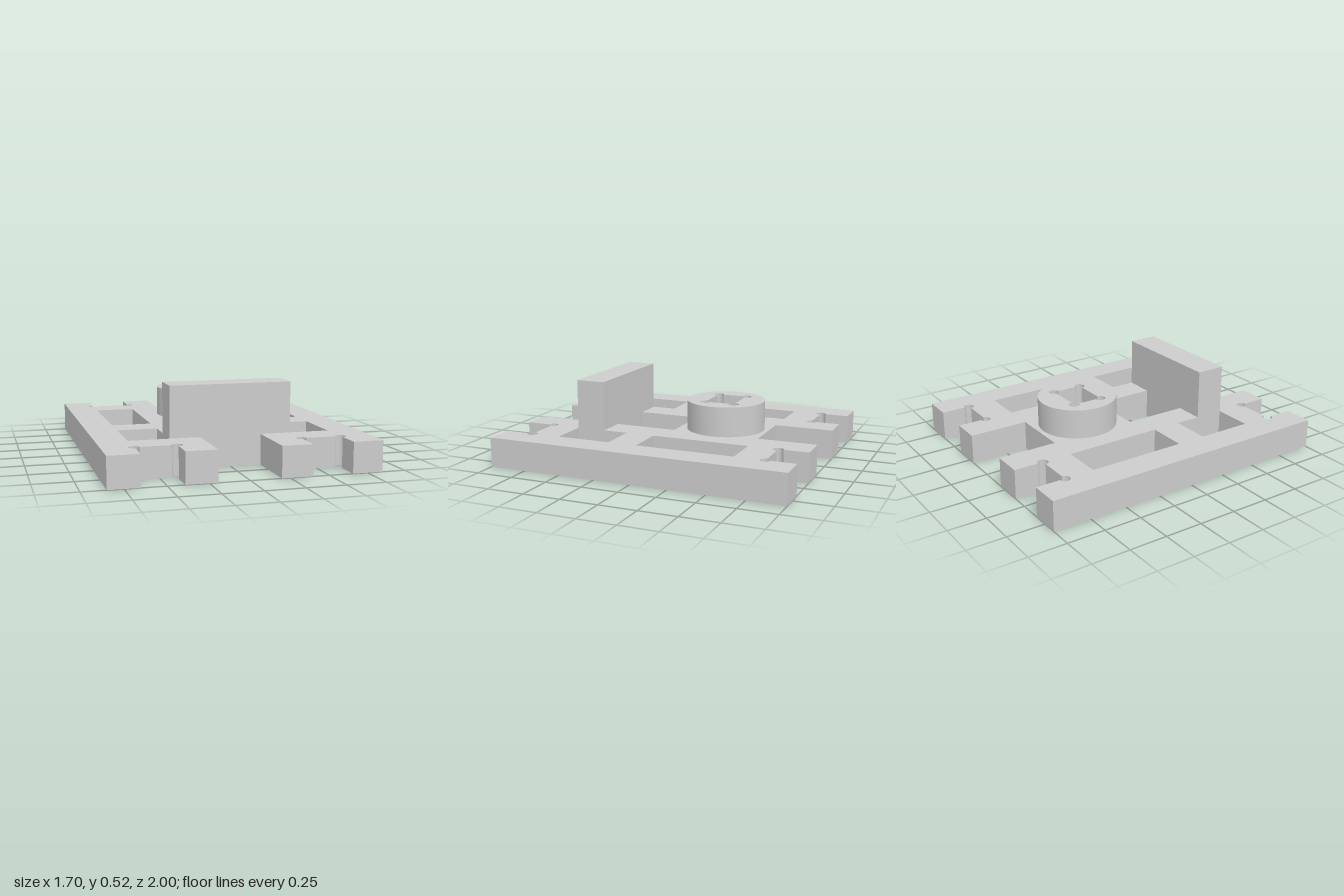
import * as THREE from 'three';
import { toCreasedNormals } from 'three/addons/utils/BufferGeometryUtils.js';

const PLATE_H = 0.197;
const RELIEF = 0.034; // radius of the round corner reliefs
const BAR = { x0: 0.197, x1: 0.393, x2: 0.655, x3: 0.85 };
const NOTCH = 0.606; // depth line of the central end notches
const SLOT = 0.804; // depth line of the relieved end slots
const BOSS_Z = -0.313;

// Points of an arc, angles in quarter turns.
function arc(cx, cy, r, from, to, n = 18) {
  return Array.from({ length: n + 1 }, (_, i) => {
    const a = (from + ((to - from) * i) / n) * Math.PI / 2;
    return new THREE.Vector2(cx + r * Math.cos(a), cy + r * Math.sin(a));
  });
}

const rect = (x0, x1, z0, z1) => [
  new THREE.Vector2(x0, -z0), new THREE.Vector2(x1, -z0),
  new THREE.Vector2(x1, -z1), new THREE.Vector2(x0, -z1),
];

// One corner of the plate outline: notch edge, inner tooth, relieved slot, outer tooth.
function quarter() {
  const { x0, x1, x2, x3 } = BAR;
  const v = (x, y) => new THREE.Vector2(x, y);
  return [
    v(x0, NOTCH), v(x0, 1), v(x1, 1),
    ...arc(x1, SLOT, RELIEF, 1, 4),
    ...arc(x2, SLOT, RELIEF, -2, 1),
    v(x2, 1), v(x3, 1),
  ];
}

const mirror = (pts, sx, sy) => pts.map((p) => new THREE.Vector2(p.x * sx, p.y * sy));

// Rectangular socket with round relief at each corner.
function socket() {
  const hx = 0.13, hz = 0.1, y = -BOSS_Z;
  return [
    ...arc(hx, y + hz, RELIEF, -1, 2),
    ...arc(-hx, y + hz, RELIEF, 0, 3),
    ...arc(-hx, y - hz, RELIEF, 1, 4),
    ...arc(hx, y - hz, RELIEF, 2, 5),
  ];
}

// Extrude a counter-clockwise plan outline upwards from y = base.
function slab(name, outline, holes, base, height, material) {
  const shape = new THREE.Shape(outline);
  shape.holes = holes.map((h) => new THREE.Path(h));
  const geo = new THREE.ExtrudeGeometry(shape, { depth: height, bevelEnabled: false });
  geo.rotateX(-Math.PI / 2).translate(0, base, 0);
  const mesh = new THREE.Mesh(toCreasedNormals(geo, 0.5), material);
  mesh.name = name;
  return mesh;
}

export function createModel() {
  const group = new THREE.Group();
  group.name = 'slottedBase';
  const grey = new THREE.MeshStandardMaterial({ color: 0xcccccc });
  grey.name = 'plain grey';

  // Base plate with toothed ends and windows
  const corner = quarter();
  const outline = [
    ...mirror(corner, 1, -1),
    ...mirror(corner, 1, 1).reverse(),
    ...mirror(corner, -1, 1),
    ...mirror(corner, -1, -1).reverse(),
  ];
  const windows = [rect(-BAR.x0, BAR.x0, -0.018, 0.409)];
  for (const s of [-1, 1]) {
    windows.push(rect(s * BAR.x1, s * BAR.x2, -NOTCH, 0.046));
    windows.push(rect(s * BAR.x1, s * BAR.x2, 0.24, 0.604));
  }
  group.add(slab('basePlate', outline, [...windows, socket()], 0, PLATE_H, grey));

  // Round boss around the socket
  const ring = arc(0, -BOSS_Z, 0.262, 0, 4, 64).slice(0, -1);
  group.add(slab('socketBoss', ring, [socket()], PLATE_H, 0.197, grey));

  // Upright wall across the front, flush with the notch
  const wall = new THREE.Mesh(new THREE.BoxGeometry(2 * BAR.x1, 0.328, 0.197), grey);
  wall.name = 'uprightWall';
  wall.position.set(0, PLATE_H + 0.164, NOTCH - 0.0985);
  group.add(wall);

  return group;
}
